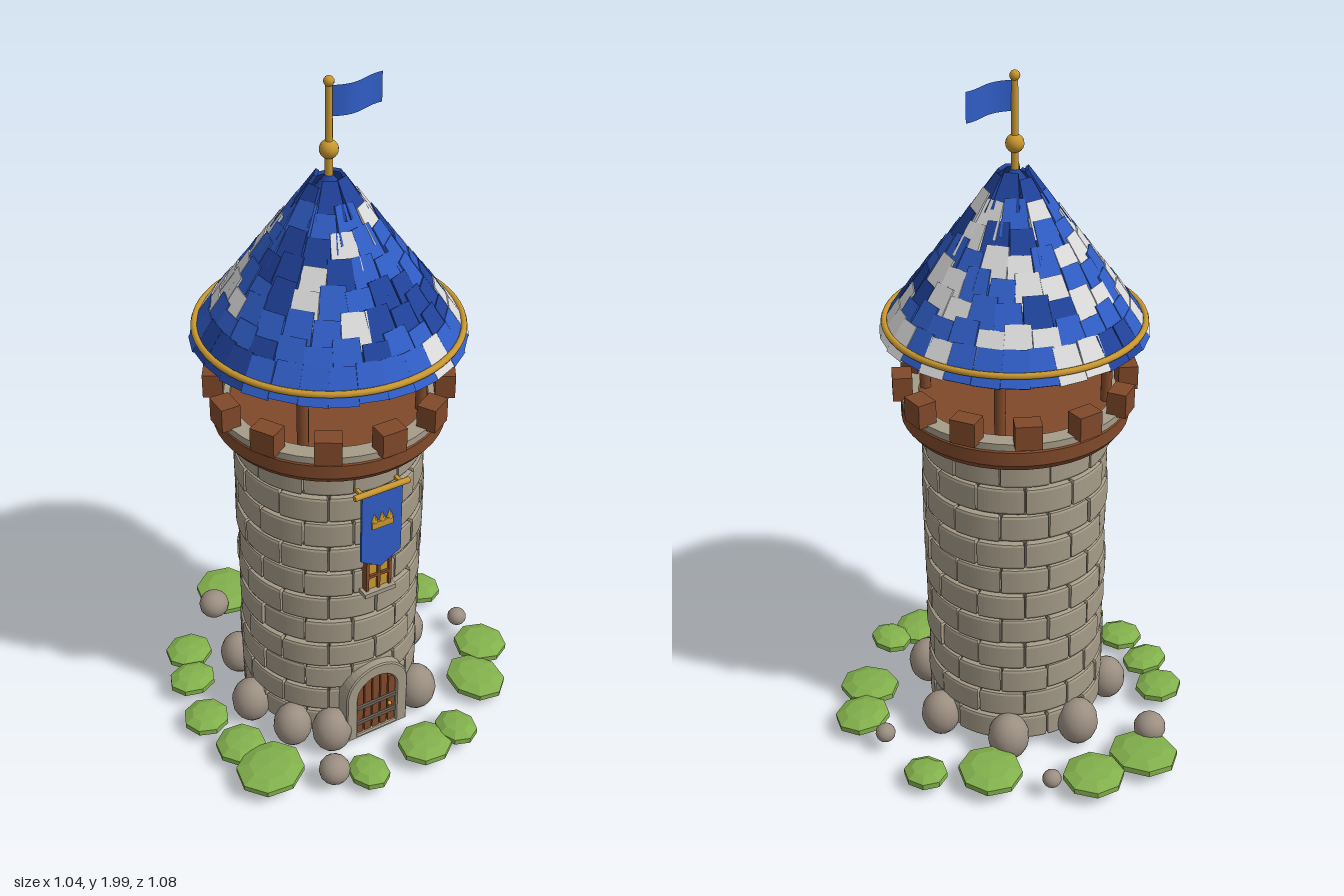
import * as THREE from 'three';

const mat = (name, color, side = THREE.FrontSide) => {
  const m = new THREE.MeshStandardMaterial({ color, side });
  m.name = name;
  return m;
};
const M = {
  stone: mat('stone', 0xa59b88),
  rock: mat('rock', 0x9c8f82),
  mortar: mat('mortar', 0x6b6357),
  wood: mat('wood', 0x80492a),
  darkWood: mat('dark wood', 0x4c2c18),
  gold: mat('gold', 0xc9972f),
  blue: mat('blue', 0x2f5cc4, THREE.DoubleSide),
  navy: mat('navy', 0x1f4199, THREE.DoubleSide),
  white: mat('white', 0xd9d9d9),
  green: mat('green', 0x82b04c),
};
const DEG = Math.PI / 180;

let seed = 11;
const rnd = () => (seed = (seed * 16807) % 2147483647) / 2147483647;

function add(parent, name, geo, material, x = 0, y = 0, z = 0) {
  const m = new THREE.Mesh(geo, material);
  m.name = name;
  m.position.set(x, y, z);
  parent.add(m);
  return m;
}
function group(parent, name) {
  const g = new THREE.Group();
  g.name = name;
  parent.add(g);
  return g;
}
const box = (w, h, d) => new THREE.BoxGeometry(w, h, d);
const cyl = (r0, r1, h, n = 16) => new THREE.CylinderGeometry(r0, r1, h, n);

// Curved block with softened edges, centred on +z
function arcBlock(r0, r1, h, angle, bevel) {
  const a = angle / 2 - bevel / r1, s = new THREE.Shape();
  s.absarc(0, 0, r1 - bevel, -Math.PI / 2 - a, -Math.PI / 2 + a, false);
  s.absarc(0, 0, r0, -Math.PI / 2 + a, -Math.PI / 2 - a, true);
  const g = new THREE.ExtrudeGeometry(s, {
    depth: h - 2 * bevel, bevelThickness: bevel, bevelSize: bevel, bevelSegments: 2, curveSegments: 5,
  });
  return g.translate(0, 0, bevel).rotateX(-Math.PI / 2);
}

function archShape(w, base, spring) {
  const s = new THREE.Shape();
  s.moveTo(-w, base);
  s.lineTo(w, base);
  s.lineTo(w, spring);
  s.absarc(0, spring, w, 0, Math.PI, false);
  s.lineTo(-w, base);
  return s;
}

// Courses of staggered bricks around a core
function buildWalls(tower) {
  const walls = group(tower, 'walls');
  add(walls, 'wallCore', cyl(0.25, 0.25, 0.975, 32), M.mortar, 0, 0.5375);
  add(walls, 'foundation', cyl(0.245, 0.245, 0.01, 10), M.stone, 0, 0.046);
  const rows = 11, n = 12, h = 0.97 / rows;
  const brick = arcBlock(0.225, 0.264, h - 0.005, (2 * Math.PI) / n - 0.018, 0.009);
  for (let r = 0; r < rows; r++) {
    for (let i = 0; i < n; i++) {
      const b = add(walls, 'brick', brick, M.stone, 0, 0.05 + r * h);
      b.rotation.y = ((i + (r % 2) / 2) / n) * 2 * Math.PI;
      const k = 0.99 + rnd() * 0.03;
      b.scale.set(k, 1, k);
    }
  }
}

// Arched door with planks, iron-like bands and stone surround
function buildDoor(tower) {
  const door = group(tower, 'door');
  const frame = archShape(0.1, 0.04, 0.2);
  frame.holes.push(archShape(0.07, 0.045, 0.195));
  add(door, 'doorSurround', new THREE.ExtrudeGeometry(frame, {
    depth: 0.06, bevelSize: 0.004, bevelThickness: 0.004, bevelSegments: 1, curveSegments: 10,
  }), M.stone, 0, 0, 0.224);
  add(door, 'doorBacking', new THREE.ExtrudeGeometry(archShape(0.071, 0.045, 0.195),
    { depth: 0.04, bevelEnabled: false }), M.darkWood, 0, 0, 0.23);
  for (let i = -2; i <= 2; i++) {
    const x = i * 0.027, top = 0.195 + Math.sqrt(0.07 ** 2 - (Math.abs(x) + 0.006) ** 2);
    add(door, 'plank', box(0.022, top - 0.045, 0.02), M.wood, x, (top + 0.045) / 2, 0.269);
  }
  for (const y of [0.095, 0.155]) add(door, 'doorBand', box(0.132, 0.012, 0.008), M.mortar, 0, y, 0.282);
  add(door, 'doorKnob', new THREE.SphereGeometry(0.007, 8, 6), M.gold, 0.045, 0.125, 0.284);
}

// Small lit window below the hanging banner
function buildWindow(tower) {
  const win = group(tower, 'window');
  add(win, 'windowPane', box(0.07, 0.1, 0.02), M.gold, 0, 0.645, 0.262);
  for (const x of [-0.036, 0, 0.036]) add(win, 'windowBar', box(0.009, 0.105, 0.03), M.wood, x, 0.645, 0.264);
  for (const y of [0.645, 0.695]) add(win, 'windowBar', box(0.075, 0.009, 0.03), M.wood, 0, y, 0.264);
  add(win, 'windowSill', box(0.1, 0.014, 0.05), M.stone, 0, 0.59, 0.265);
}

function buildBanner(tower) {
  const banner = group(tower, 'banner');
  const s = new THREE.Shape([[-0.063, 0.94], [-0.063, 0.72], [0, 0.682], [0.063, 0.72], [0.063, 0.94]]
    .map(p => new THREE.Vector2(...p)));
  add(banner, 'bannerCloth', new THREE.ExtrudeGeometry(s, { depth: 0.008, bevelEnabled: false }), M.blue, 0, 0, 0.279);
  add(banner, 'bannerRod', cyl(0.009, 0.009, 0.17, 10), M.gold, 0, 0.945, 0.283).rotation.z = Math.PI / 2;
  for (const x of [-0.06, 0.06]) add(banner, 'rodBracket', box(0.01, 0.01, 0.04), M.gold, x, 0.945, 0.262);
  add(banner, 'emblemBase', box(0.066, 0.022, 0.008), M.gold, 0, 0.836, 0.289);
  for (const x of [-0.024, 0, 0.024]) add(banner, 'emblemPoint', cyl(0.001, 0.011, 0.026, 4), M.gold, x, 0.859, 0.287);
}

// Wooden gallery with battlements and the posts under the roof
function buildGallery(tower) {
  const gal = group(tower, 'gallery');
  const ring = [[0.2, 1.015], [0.305, 1.015], [0.32, 1.035], [0.32, 1.075], [0.312, 1.085], [0, 1.085]];
  add(gal, 'galleryDeck', new THREE.LatheGeometry(ring.flatMap(p =>
    [new THREE.Vector2(...p), new THREE.Vector2(...p)]), 48), M.wood);
  const rim = [[0.27, 1.08], [0.318, 1.08], [0.318, 1.1], [0.27, 1.1], [0.27, 1.08]];
  add(gal, 'stoneRim', new THREE.LatheGeometry(rim.flatMap(p =>
    [new THREE.Vector2(...p), new THREE.Vector2(...p)]), 48), M.stone);
  for (let i = 0; i < 12; i++) {
    const pivot = group(gal, 'merlon');
    pivot.rotation.y = i * 30 * DEG;
    add(pivot, 'merlonBlock', box(0.072, 0.07, 0.055), M.wood, 0, 1.13, 0.314);
  }
  for (let i = 0; i < 4; i++) {
    const a = (45 + 90 * i) * DEG;
    add(gal, 'roofPost', cyl(0.016, 0.016, 0.24, 10), M.wood, 0.256 * Math.sin(a), 1.2, 0.256 * Math.cos(a));
  }
}

// Conical roof of overlapping tapered tiles
function buildRoof(tower) {
  const roof = group(tower, 'roof');
  add(roof, 'roofLining', new THREE.CylinderGeometry(0.03, 0.345, 0.42, 40, 1, true), M.blue, 0, 1.505);
  const rows = 8, tilt = Math.atan2(0.315, 0.42);
  for (let r = 0; r < rows; r++) {
    const t = r / rows, radius = 0.362 - 0.315 * t, y = 1.295 + 0.42 * t;
    const n = Math.max(7, Math.round((2 * Math.PI * radius) / 0.077));
    const w = (2 * Math.PI * radius) / n, topScale = Math.max(0.3, 1 - 0.045 / radius);
    const tile = box(w * 1.01, 0.1, 0.01).translate(0, 0.05, 0);
    const p = tile.attributes.position;
    for (let i = 0; i < p.count; i++) if (p.getY(i) > 0.05) p.setX(i, p.getX(i) * topScale);
    tile.computeVertexNormals();
    let pick = M.blue;
    for (let i = 0; i < n; i++) {
      if (i % 2 === 0 || rnd() < 0.4) {
        const v = rnd();
        pick = r === rows - 1 ? M.navy : v < 0.34 ? M.white : v < 0.48 ? M.navy : M.blue;
      }
      const pivot = group(roof, 'tile');
      pivot.rotation.y = ((i + (r % 2) / 2) / n) * 2 * Math.PI;
      const drop = r === 0 ? rnd() * 0.008 : (i % 2) * 0.018 + rnd() * 0.008;
      const m = add(pivot, 'roofTile', tile, pick, 0, y - drop * 0.8, radius + drop * 0.6);
      m.rotation.set(-tilt + 0.05, 0, (rnd() - 0.5) * 0.08);
    }
  }
  add(roof, 'roofTrim', new THREE.TorusGeometry(0.356, 0.009, 8, 64), M.gold, 0, 1.322).rotation.x = Math.PI / 2;
  add(roof, 'roofCap', cyl(0.01, 0.062, 0.065, 12), M.navy, 0, 1.71);
}

function buildFlag(tower) {
  const flag = group(tower, 'flag');
  add(flag, 'flagPole', cyl(0.009, 0.011, 0.27, 10), M.gold, 0, 1.85);
  add(flag, 'poleBall', new THREE.SphereGeometry(0.025, 16, 12), M.gold, 0, 1.81);
  add(flag, 'poleTip', new THREE.SphereGeometry(0.014, 12, 8), M.gold, 0, 1.986);
  const cloth = new THREE.PlaneGeometry(0.152, 0.08, 12, 1).translate(0.084, 0, 0);
  const p = cloth.attributes.position;
  for (let i = 0; i < p.count; i++) p.setZ(i, 0.014 * Math.sin(p.getX(i) * 30));
  cloth.computeVertexNormals();
  add(flag, 'flagCloth', cloth, M.blue, 0, 1.935);
}

// Boulders at the foot, loose pebbles and low bushes
function buildGround(root, tower) {
  const rocks = group(tower, 'boulders');
  const boulder = new THREE.SphereGeometry(1, 14, 10);
  for (const a of [-28, 38, 92, 140, 185, 232, 275, 308]) {
    const k = 0.92 + rnd() * 0.16;
    const m = add(rocks, 'boulder', boulder, M.rock, 0.285 * Math.sin(a * DEG), 0.08, 0.285 * Math.cos(a * DEG));
    m.scale.set(0.06 * k, 0.072 * k, 0.06 * k);
    m.rotation.y = a;
  }
  const pebbles = group(root, 'pebbles');
  for (const [x, z, r] of [[-0.225, -0.375, 0.048], [0.148, -0.38, 0.028], [0.43, 0.07, 0.03], [-0.235, 0.432, 0.046]]) {
    add(pebbles, 'pebble', boulder, M.rock, x, 0.07, z).scale.set(r, r * 0.95, r);
  }
  const bushes = group(root, 'bushes');
  const leaf = new THREE.SphereGeometry(1, 8, 5).toNonIndexed();
  leaf.computeVertexNormals();
  const spots = [
    [-0.15, -0.435, 0.1, 0.11], [0.03, -0.425, 0.097, 0.093], [0.265, -0.24, 0.097, 0.1],
    [0.415, -0.125, 0.065, 0.07], [-0.385, -0.23, 0.077, 0.072], [-0.43, -0.11, 0.077, 0.065],
    [-0.458, 0.045, 0.072, 0.072], [-0.42, 0.2, 0.077, 0.077], [-0.39, 0.33, 0.107, 0.1],
    [-0.143, 0.472, 0.06, 0.07], [0.055, 0.465, 0.09, 0.08], [0.165, 0.462, 0.062, 0.072],
    [0.34, 0.31, 0.087, 0.1], [0.435, 0.195, 0.087, 0.085],
  ];
  spots.forEach(([x, z, rx, rz], i) => {
    const m = add(bushes, 'bush', leaf, M.green, x, 0.053 + 0.006 * (i % 3 - 1), z);
    m.scale.set(rx, 0.028, rz);
    m.rotation.set((rnd() - 0.5) * 0.12, rnd() * 0.3, (rnd() - 0.5) * 0.12);
  });
}

export function createModel() {
  const root = new THREE.Group();
  root.name = 'watchtower';
  const tower = group(root, 'tower');
  tower.position.set(-0.035, 0, 0.05);
  [buildWalls, buildDoor, buildWindow, buildBanner, buildGallery, buildRoof, buildFlag].forEach(f => f(tower));
  buildGround(root, tower);
  return root;
}
